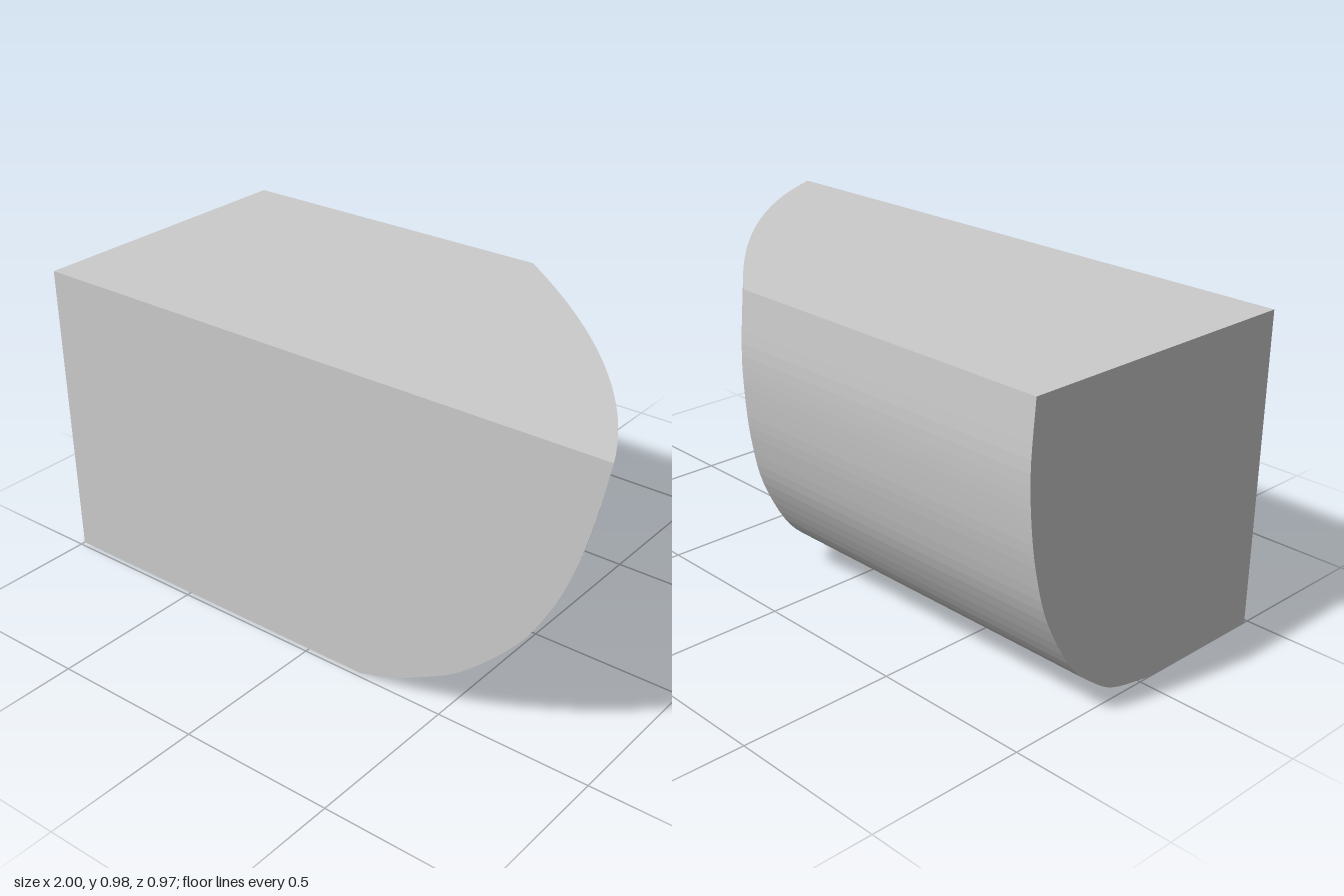
import * as THREE from 'three';

const FRONT = 0.485, STERN = -1, TOP = 0.98;
const ROWS = 36, COLS = 24;

// Hull stations from keel to deck: y, side z, corner x, stem x, bulge of the bow
const stations = [
  [0, 0.04, 0.12, 0.20, 0],
  [0.03, -0.11, 0.15, 0.30, 0.03],
  [0.08, -0.20, 0.175, 0.41, 0.06],
  [0.17, -0.30, 0.18, 0.565, 0.09],
  [0.34, -0.40, 0.165, 0.745, 0.115],
  [0.50, -0.45, 0.15, 0.85, 0.12],
  [0.65, -0.475, 0.14, 0.915, 0.12],
  [0.80, -0.484, 0.135, 0.96, 0.115],
  [TOP, -0.473, 0.13, 1.0, 0.11],
];

// Smooth the columns of the station table, y shared by both curves
const curve = (a, b, c) => new THREE.CatmullRomCurve3(
  stations.map((s) => new THREE.Vector3(s[a], s[b], s[c])), false, 'catmullrom', 0.5);
const corner = curve(2, 0, 1);
const stem = curve(3, 0, 4);

// Point on the bow: t = 0 at the side corner, t = 1 at the stem
function bowPoint(i, t) {
  const c = corner.getPoint(i / ROWS), s = stem.getPoint(i / ROWS);
  return new THREE.Vector3(
    THREE.MathUtils.lerp(c.x, s.x, t) + 4 * s.z * t * (1 - t),
    c.y,
    THREE.MathUtils.lerp(c.z, FRONT, t));
}

// Point on the side: t = 0 at the stern, t = 1 at the bow corner
function sidePoint(i, t) {
  const c = corner.getPoint(i / ROWS);
  return new THREE.Vector3(THREE.MathUtils.lerp(STERN, c.x, t), c.y, c.z);
}

function mesh(name, points, index, flatShading) {
  const geometry = new THREE.BufferGeometry().setFromPoints(points);
  geometry.setIndex(index);
  geometry.computeVertexNormals();
  const m = new THREE.Mesh(geometry,
    new THREE.MeshStandardMaterial({ color: 0xcccccc, flatShading }));
  m.name = name;
  return m;
}

// Curved skin from a grid of points
function skin(name, point, cols, flat) {
  const points = [], index = [];
  for (let i = 0; i <= ROWS; i++) {
    for (let j = 0; j <= cols; j++) {
      points.push(point(i, j / cols));
      if (i === ROWS || j === cols) continue;
      const a = i * (cols + 1) + j, b = a + cols + 1;
      index.push(a, b, b + 1, a, b + 1, a + 1);
    }
  }
  return mesh(name, points, index, flat);
}

// Flat convex panel, corners counter-clockwise from outside
function panel(name, points) {
  const index = [];
  for (let i = 1; i < points.length - 1; i++) index.push(0, i, i + 1);
  return mesh(name, points, index, true);
}

const range = (n, f) => Array.from({ length: n + 1 }, (_, i) => f(i));

export function createModel() {
  const group = new THREE.Group();
  group.name = 'halfHull';
  const v = (x, y, z) => new THREE.Vector3(x, y, z);

  // Curved skins
  group.add(skin('bow', bowPoint, COLS, false));
  group.add(skin('hullSide', sidePoint, 1, true));

  // Flat panels closing the body
  group.add(panel('frontFace', [
    v(STERN, 0, FRONT), ...range(ROWS, (i) => bowPoint(i, 1)), v(STERN, TOP, FRONT)]));
  group.add(panel('stern', [
    v(STERN, 0, FRONT), v(STERN, TOP, FRONT), ...range(ROWS, (i) => sidePoint(ROWS - i, 0))]));
  group.add(panel('deck', [
    v(STERN, TOP, FRONT), ...range(COLS, (j) => bowPoint(ROWS, 1 - j / COLS)), sidePoint(ROWS, 0)]));
  group.add(panel('bottom', [
    sidePoint(0, 0), ...range(COLS, (j) => bowPoint(0, j / COLS)), v(STERN, 0, FRONT)]));
  return group;
}
